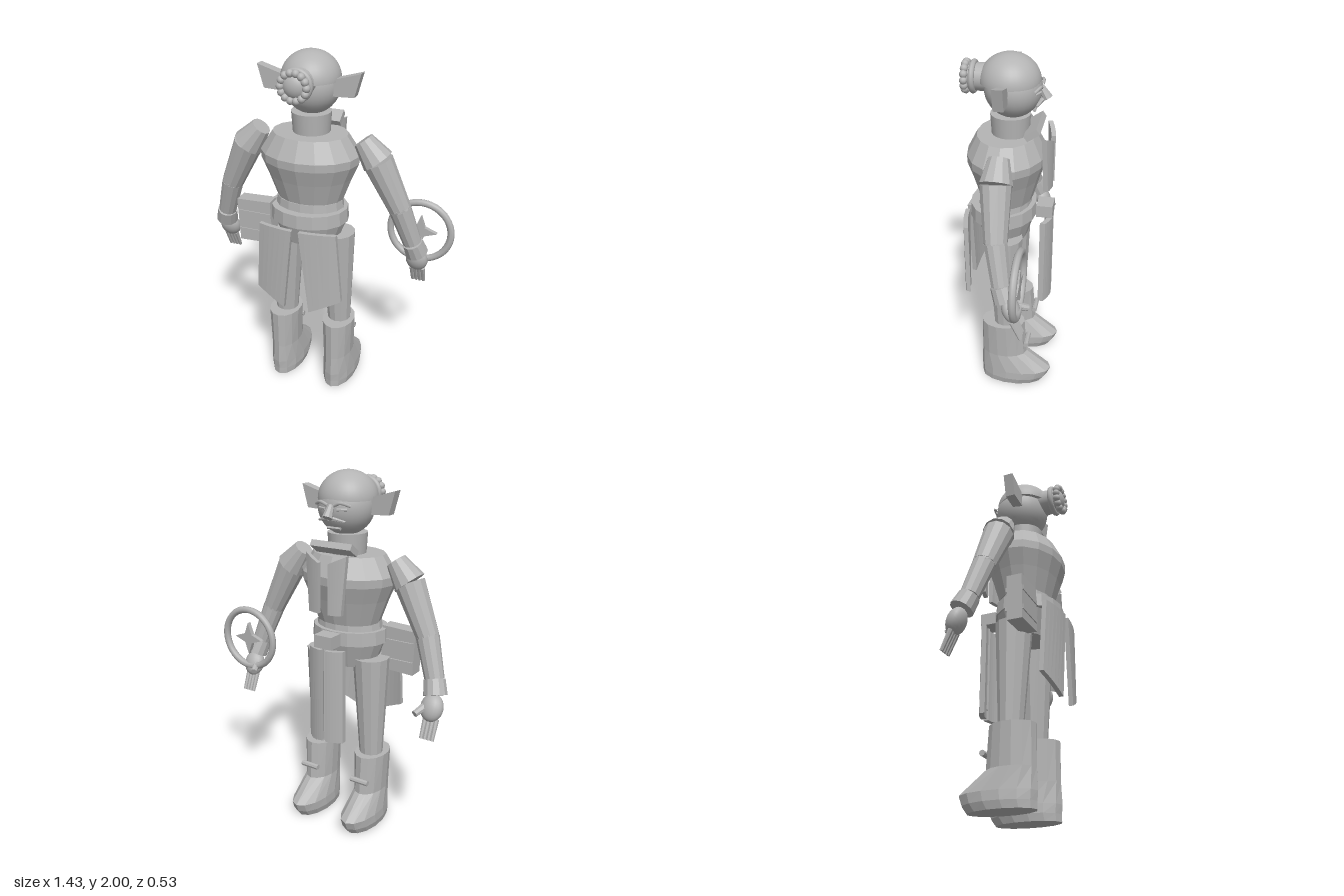
import * as THREE from 'three';

const CX = -0.062; // body centre line
const V = (x, y, z) => new THREE.Vector3(x, y, z);

export function createModel() {
  const clay = new THREE.MeshStandardMaterial({ color: 0xb4b4b4 });
  const model = new THREE.Group();
  const body = new THREE.Group();
  body.name = 'figure';
  body.position.x = CX;
  model.add(body);

  const add = (name, geo, x = 0, y = 0, z = 0, parent = body) => {
    const m = new THREE.Mesh(geo, clay);
    m.name = name;
    m.position.set(x, y, z);
    parent.add(m);
    return m;
  };
  // faceted copy of a geometry
  const facet = (geo) => {
    const g = geo.index ? geo.toNonIndexed() : geo;
    g.computeVertexNormals();
    return g;
  };
  // tapered round bar between two points
  const bar = (name, a, b, ra, rb, sides = 10) => {
    const m = add(name, facet(new THREE.CylinderGeometry(rb, ra, a.distanceTo(b), sides)));
    m.position.copy(a).add(b).multiplyScalar(0.5);
    m.quaternion.setFromUnitVectors(V(0, 1, 0), b.clone().sub(a).normalize());
    return m;
  };
  const lathe = (name, pts, z, depth, sides = 16) => {
    const g = new THREE.LatheGeometry(pts.map((p) => new THREE.Vector2(p[0], p[1])), sides);
    g.scale(1, 1, depth);
    return add(name, facet(g), 0, 0, z);
  };
  // curved cloth plate: corners [x, y] topA, topB, bottomA, bottomB with z = z0 - k x^2
  const flap = (name, tA, tB, bA, bB, z0, k, t) => {
    const g = new THREE.BoxGeometry(1, 1, t, 6, 1, 1);
    const p = g.attributes.position;
    for (let i = 0; i < p.count; i++) {
      const u = p.getX(i) + 0.5, v = p.getY(i) + 0.5;
      const mix = (j) => (bA[j] * (1 - u) + bB[j] * u) * (1 - v) + (tA[j] * (1 - u) + tB[j] * u) * v;
      const x = mix(0);
      p.setXYZ(i, x, mix(1), p.getZ(i) + z0 - k * x * x);
    }
    return add(name, facet(g));
  };
  // solid skinned over elliptical rings [y, zCentre, halfX, halfZ], bottom to top
  const loft = (rings, n = 14) => {
    const pos = [], idx = [];
    rings.forEach(([y, zc, hx, hz]) => {
      for (let i = 0; i < n; i++) {
        const a = (i / n) * Math.PI * 2;
        pos.push(Math.sin(a) * hx, y, zc + Math.cos(a) * hz);
      }
    });
    for (let r = 0; r < rings.length - 1; r++) {
      for (let i = 0; i < n; i++) {
        const a = r * n + i, b = r * n + ((i + 1) % n);
        idx.push(a, b, b + n, a, b + n, a + n);
      }
    }
    const top = (rings.length - 1) * n;
    for (let i = 1; i < n - 1; i++) idx.push(0, i + 1, i, top, top + i, top + i + 1);
    const g = new THREE.BufferGeometry();
    g.setAttribute('position', new THREE.Float32BufferAttribute(pos, 3));
    g.setIndex(idx);
    return facet(g);
  };

  // head, cap and neck
  add('head', new THREE.SphereGeometry(0.152, 32, 20), 0, 1.82, 0).scale.set(1, 1.02, 1);
  add('cap', new THREE.SphereGeometry(0.158, 32, 12, 0, Math.PI * 2, 0, Math.PI / 2), 0, 1.855, 0.015).scale.set(1, 0.92, 1.02);
  add('capUnderside', new THREE.CircleGeometry(0.158, 32).rotateX(Math.PI / 2), 0, 1.855, 0.015);
  add('neck', new THREE.CylinderGeometry(0.108, 0.1, 0.13, 20), 0, 1.615, 0.013);

  // braided bun on the back of the head
  add('bun', new THREE.SphereGeometry(0.07, 24, 16), 0, 1.865, 0.215).scale.z = 0.75;
  add('bunBand', new THREE.TorusGeometry(0.073, 0.016, 8, 32), 0, 1.865, 0.205);
  for (let i = 0; i < 14; i++) {
    const a = (i / 14) * Math.PI * 2;
    add('braidBead', new THREE.SphereGeometry(0.021, 10, 8), Math.cos(a) * 0.07, 1.865 + Math.sin(a) * 0.07, 0.245);
  }
  add('bunBase', new THREE.CylinderGeometry(0.07, 0.075, 0.1, 20).rotateX(Math.PI / 2), 0, 1.865, 0.17);

  // face
  bar('nose', V(0, 1.835, -0.145), V(0, 1.775, -0.18), 0.016, 0.028, 8);
  bar('mouth', V(-0.04, 1.715, -0.118), V(0.04, 1.715, -0.118), 0.008, 0.008, 6);

  // torso, belt and hips
  lathe('torso', [[0, 1.57], [0.208, 1.57], [0.277, 1.465], [0.274, 1.42], [0.235, 1.33], [0.185, 1.195], [0, 1.195]].reverse(), 0.03, 0.78);
  lathe('waist', [[0, 1.15], [0.195, 1.15], [0.187, 1.205], [0, 1.205]], 0.04, 0.76);
  lathe('belt', [[0, 1.085], [0.223, 1.085], [0.218, 1.16], [0, 1.16]], 0.05, 0.84);
  lathe('hips', [[0, 0.94], [0.16, 0.95], [0.215, 1.09], [0, 1.09]], 0.04, 0.78);
  add('buckle', new THREE.BoxGeometry(0.11, 0.07, 0.09), 0, 1.125, -0.185);
  bar('cord', V(0, 1.09, -0.21), V(0, 0.6, -0.21), 0.01, 0.01, 6);
  const tie = add('collarBar', new THREE.BoxGeometry(0.25, 0.035, 0.08), 0, 1.612, -0.118);
  tie.rotation.x = 0.6;

  for (const s of [-1, 1]) {
    // order the plate corners from -x to +x on either side
    const panel = (name, c, z0, k, t) => {
      const [ti, to, bi, bo] = c.map(([x, y]) => [s * x, y]);
      return s > 0 ? flap(name, ti, to, bi, bo, z0, k, t) : flap(name, to, ti, bo, bi, z0, k, t);
    };
    panel('skirtPanel', [[0.02, 1.08], [0.222, 1.08], [0.075, 0.585], [0.252, 0.67]], 0.256, 0.7, 0.025);
    panel('apronPanel', [[0.012, 1.08], [0.105, 1.08], [0.012, 0.545], [0.108, 0.545]], -0.217, -3, 0.03);
    panel('lapel', [[0.03, 1.55], [0.125, 1.595], [0.03, 1.28], [0.1, 1.28]], -0.215, -2, 0.025);

    // ear
    const ear = new THREE.Shape();
    ear.moveTo(s * 0.13, 1.865);
    ear.lineTo(s * 0.285, 1.91);
    ear.lineTo(s * 0.25, 1.785);
    ear.lineTo(s * 0.13, 1.78);
    add('ear', new THREE.ExtrudeGeometry(ear, { depth: 0.055, bevelEnabled: false }), 0, 0, 0.003);

    // brow, eye and moustache
    const brow = new THREE.CatmullRomCurve3([V(s * 0.02, 1.835, -0.15), V(s * 0.06, 1.85, -0.15), V(s * 0.105, 1.835, -0.125)]);
    add('brow', new THREE.TubeGeometry(brow, 10, 0.009, 6));
    bar('eye', V(s * 0.035, 1.815, -0.148), V(s * 0.085, 1.815, -0.127), 0.008, 0.008, 6);
    bar('moustache', V(s * 0.012, 1.77, -0.155), V(s * 0.08, 1.755, -0.135), 0.012, 0.006, 6);

    // arm
    const top = V(s * 0.292, 1.555, 0.02), cap = V(s * 0.375, 1.45, 0.02);
    const elbow = V(s * 0.5, 1.19, 0.0), wrist = V(s * 0.57, 0.98, -0.04), cuffEnd = V(s * 0.592, 0.905, -0.068);
    bar('shoulder', top, cap, 0.055, 0.088, 12);
    bar('upperArm', cap, elbow, 0.083, 0.062, 12);
    add('elbow', facet(new THREE.IcosahedronGeometry(0.062, 1)), elbow.x, elbow.y, elbow.z);
    bar('forearm', elbow, wrist, 0.062, 0.052, 12);
    bar('cuff', wrist, cuffEnd, 0.057, 0.064, 12);

    // hand with thumb and fingers
    const hand = add('hand', new THREE.SphereGeometry(0.062, 18, 14), s * 0.588, 0.845, -0.095);
    hand.scale.set(1, 1.2, 0.75);
    hand.rotation.x = 0.4;
    bar('thumb', V(s * 0.555, 0.85, -0.115), V(s * 0.53, 0.825, -0.175), 0.022, 0.018, 8);
    for (let i = 0; i < 4; i++) {
      const x = s * (0.56 + i * 0.021);
      bar('finger', V(x, 0.79, -0.105), V(x, 0.685, -0.15), 0.014, 0.01, 7);
    }

    // leg and boot
    bar('leg', V(s * 0.168, 0.4, 0.012), V(s * 0.153, 1.0, 0.02), 0.065, 0.102, 12);
    add('boot', loft([
      [0, -0.03, 0.09, 0.185], [0.04, -0.045, 0.1, 0.2], [0.09, -0.053, 0.099, 0.212],
      [0.205, 0.018, 0.083, 0.135], [0.43, 0.025, 0.092, 0.127],
    ]), s * 0.17, 0, 0);
    bar('bootToggle', V(s * 0.17 - 0.055, 0.29, -0.118), V(s * 0.17 + 0.055, 0.29, -0.118), 0.016, 0.016, 8);
  }

  // satchel on the hip
  add('satchel', new THREE.BoxGeometry(0.2, 0.25, 0.085), -0.285, 1.045, 0.12).rotation.z = 0.04;
  for (const y of [0.98, 1.09]) add('satchelStrap', new THREE.BoxGeometry(0.19, 0.025, 0.1), -0.285, y, 0.118);

  // ring and star held in one hand
  const charm = new THREE.Group();
  charm.name = 'ringCharm';
  charm.position.set(0.528, 1.01, -0.13);
  model.add(charm);
  add('ring', new THREE.TorusGeometry(0.172, 0.02, 8, 40), 0, 0, 0, charm);
  const star = new THREE.Shape();
  for (let i = 0; i < 8; i++) {
    const a = (i / 8) * Math.PI * 2, r = i % 2 ? 0.036 : 0.095;
    star[i ? 'lineTo' : 'moveTo'](Math.cos(a) * r, Math.sin(a) * r);
  }
  add('star', new THREE.ExtrudeGeometry(star, { depth: 0.025, bevelEnabled: false }), 0, 0, -0.0125, charm);

  return model;
}
